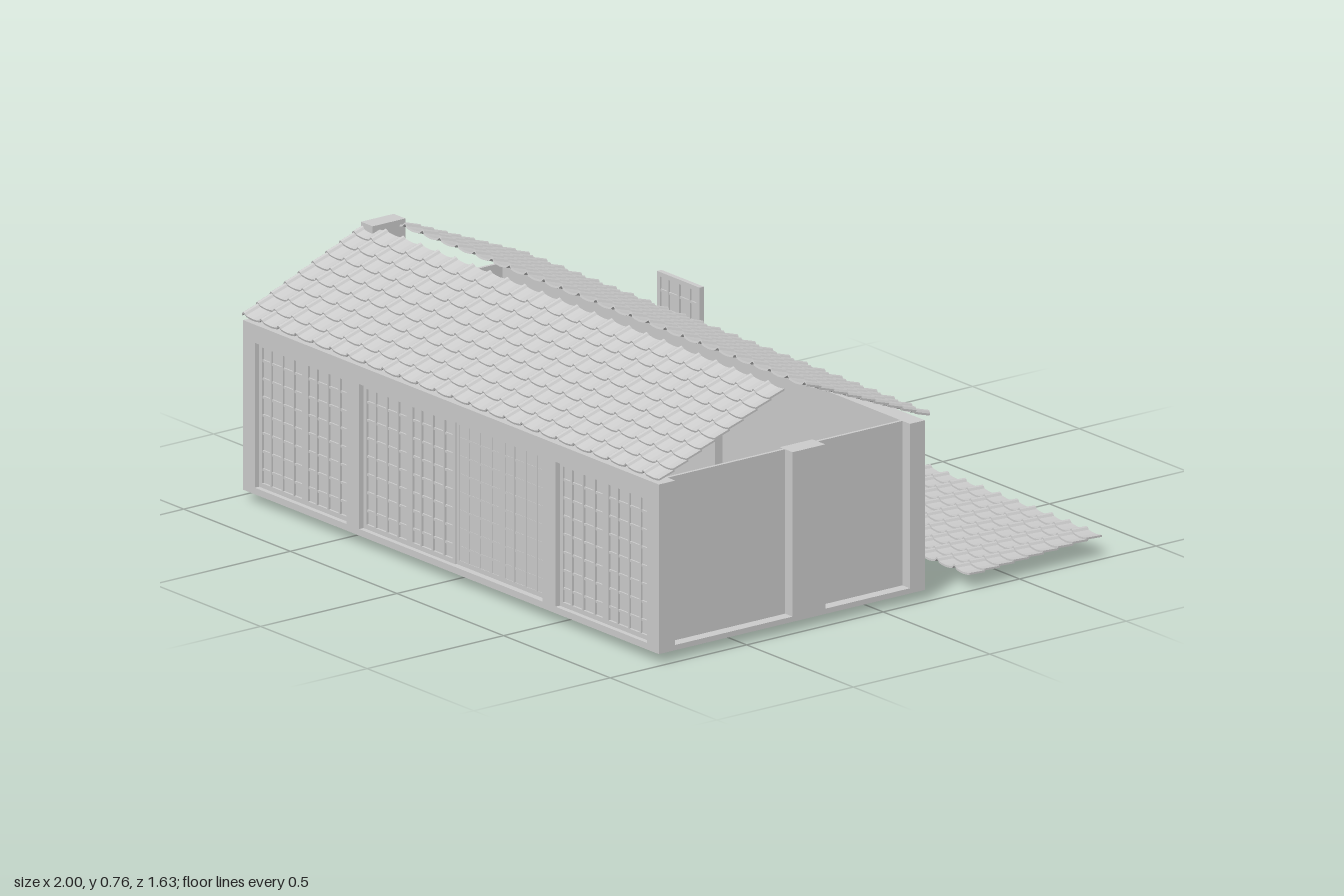
import * as THREE from 'three';

const mat = new THREE.MeshStandardMaterial({ color: 0xcccccc, side: THREE.DoubleSide });
const PITCH = 0.0815; // width of one tile column

function mesh(parent, name, geometry) {
  const m = new THREE.Mesh(geometry, mat);
  m.name = name;
  parent.add(m);
  return m;
}

// Box given by its min and max on each axis
function box(parent, name, x0, x1, y0, y1, z0, z1) {
  const m = mesh(parent, name, new THREE.BoxGeometry(x1 - x0, y1 - y0, z1 - z0));
  m.position.set((x0 + x1) / 2, (y0 + y1) / 2, (z0 + z1) / 2);
  return m;
}

function group(parent, name) {
  const g = new THREE.Group();
  g.name = name;
  parent.add(g);
  return g;
}

// Tile cross-section: a narrow rib followed by a shallow pan
function tileHeight(u) {
  return u < 0.24
    ? 0.004 + 0.009 * Math.sin((Math.PI * u) / 0.24)
    : 0.004 - 0.004 * Math.sin((Math.PI * (u - 0.24)) / 0.76);
}

// One course of tiles, columns along x, centred on x = 0, running towards +z
function tileCourse(columns, length) {
  const steps = [0, 0.06, 0.12, 0.18, 0.24, 0.4, 0.62, 0.82];
  const top = [], bottom = [];
  for (let c = 0; c < columns; c++) {
    for (const u of steps) {
      const x = (c + u - columns / 2) * PITCH;
      top.push(new THREE.Vector2(x, tileHeight(u) + 0.006));
      bottom.unshift(new THREE.Vector2(x, tileHeight(u)));
    }
  }
  const end = (columns / 2) * PITCH;
  top.push(new THREE.Vector2(end, 0.01));
  bottom.unshift(new THREE.Vector2(end, 0.004));
  return new THREE.ExtrudeGeometry(new THREE.Shape([...top, ...bottom]), {
    depth: length, bevelEnabled: false, steps: 1,
  });
}

// Overlapping courses; the origin is the upper edge and the slope falls to +z
function tiledSlope(parent, name, columns, length, angle) {
  const g = group(parent, name);
  const rows = 9, step = length / rows;
  const course = tileCourse(columns, step + 0.003);
  for (let r = 0; r < rows; r++) {
    const row = mesh(g, 'tileCourse', course);
    row.position.z = r * step - (r ? 0.003 : 0);
    row.rotation.x = -0.1;
  }
  g.rotation.x = angle;
  return g;
}

// Lattice door: backing sheet, frame and bars; bars stand on both faces
function latticeDoor(parent, name, x0, y0, w, h, z, depth) {
  const g = group(parent, name);
  const f = 0.014, bar = 0.007, cols = 4, rows = 8, zf = z + depth;
  box(g, 'doorSheet', x0, x0 + w, y0, y0 + h, z - 0.002, z + 0.002);
  for (const x of [x0, x0 + w - f]) box(g, 'doorStile', x, x + f, y0, y0 + h, z - depth, zf);
  for (const y of [y0, y0 + h - f]) box(g, 'doorRail', x0 + f, x0 + w - f, y, y + f, z - depth, zf);
  for (let i = 1; i < cols; i++) {
    const x = x0 + (w * i) / cols;
    box(g, 'doorBar', x - bar / 2, x + bar / 2, y0 + f, y0 + h - f, z - depth, zf);
  }
  for (let i = 1; i < rows; i++) {
    const y = y0 + (h * i) / rows;
    box(g, 'doorCrossbar', x0 + f, x0 + w - f, y - bar / 2, y + bar / 2, z - depth * 0.8, z + depth * 0.8);
  }
  return g;
}

// Long wall with rectangular openings between posts
function longWall(parent, name, openings, z0, z1) {
  const s = new THREE.Shape();
  s.moveTo(-0.965, 0.03).lineTo(0.985, 0.03).lineTo(0.985, 0.545).lineTo(-0.965, 0.545).closePath();
  for (const [a, b] of openings) {
    const hole = new THREE.Path();
    hole.moveTo(a, 0.05).lineTo(a, 0.49).lineTo(b, 0.49).lineTo(b, 0.05).closePath();
    s.holes.push(hole);
  }
  const geo = new THREE.ExtrudeGeometry(s, { depth: z1 - z0, bevelEnabled: false });
  mesh(parent, name, geo).position.z = z0;
}

export function createModel() {
  const model = new THREE.Group();
  model.name = 'tiledHouse';

  // Floor and long walls
  const house = group(model, 'house');
  box(house, 'floor', -0.965, 0.985, 0.03, 0.046, -0.165, 0.81);
  const frontOpenings = [[-0.91, -0.48], [-0.42, 0.44], [0.5, 0.93]];
  const backOpenings = [[-0.91, -0.05], [0.07, 0.93]];
  longWall(house, 'frontFrame', frontOpenings, 0.75, 0.81);
  longWall(house, 'backFrame', backOpenings, -0.165, -0.11);
  for (const [a, b] of backOpenings) box(house, 'backPanel', a, b, 0.05, 0.49, -0.148, -0.138);

  // Sliding doors along the front; the pair in the middle right is shallower
  for (const [a, b] of frontOpenings) {
    const count = Math.round((b - a) / 0.215), w = (b - a) / count;
    for (let i = 0; i < count; i++) {
      const shallow = count === 4 && i > 1;
      latticeDoor(house, 'slidingDoor', a + i * w, 0.05, w, 0.44, 0.785, shallow ? 0.004 : 0.009);
    }
  }

  // End walls: middle post and two inset panels, with open gables above
  for (const [x0, x1, px] of [[-0.965, -0.91, -0.93], [0.925, 0.985, 0.945]]) {
    box(house, 'endPost', x0, x1, 0.03, 0.545, 0.2, 0.32);
    for (const [z0, z1] of [[-0.11, 0.2], [0.32, 0.75]])
      box(house, 'endPanel', px - 0.005, px + 0.005, 0.046, 0.545, z0, z1);
  }

  // Tall ridge post at one end
  box(house, 'ridgePost', -0.965, -0.91, 0.545, 0.757, 0.258, 0.378);

  // Two roof slopes with a gap along the ridge
  const frontRoof = group(model, 'frontRoof');
  tiledSlope(frontRoof, 'frontSlope', 24, 0.494, 0.39);
  frontRoof.position.set(0.01, 0.736, 0.35);
  const backRoof = group(model, 'backRoof');
  tiledSlope(backRoof, 'backSlope', 24, 0.487, 0.39);
  backRoof.rotation.y = Math.PI;
  backRoof.position.set(0.018, 0.736, 0.28);

  // Loose parts behind the house: tile sheet, door and single tile
  const sheet = tiledSlope(model, 'looseTileSheet', 12, 0.486, 0.05);
  sheet.position.set(0.498, 0.058, -0.812);
  latticeDoor(model, 'looseDoor', -0.7, 0.06, 0.2, 0.44, -0.508, 0.008);
  const tile = mesh(model, 'looseTile', tileCourse(1, 0.06));
  tile.scale.x = 1.04;
  tile.position.set(-0.958, 0, -0.42);

  return model;
}
